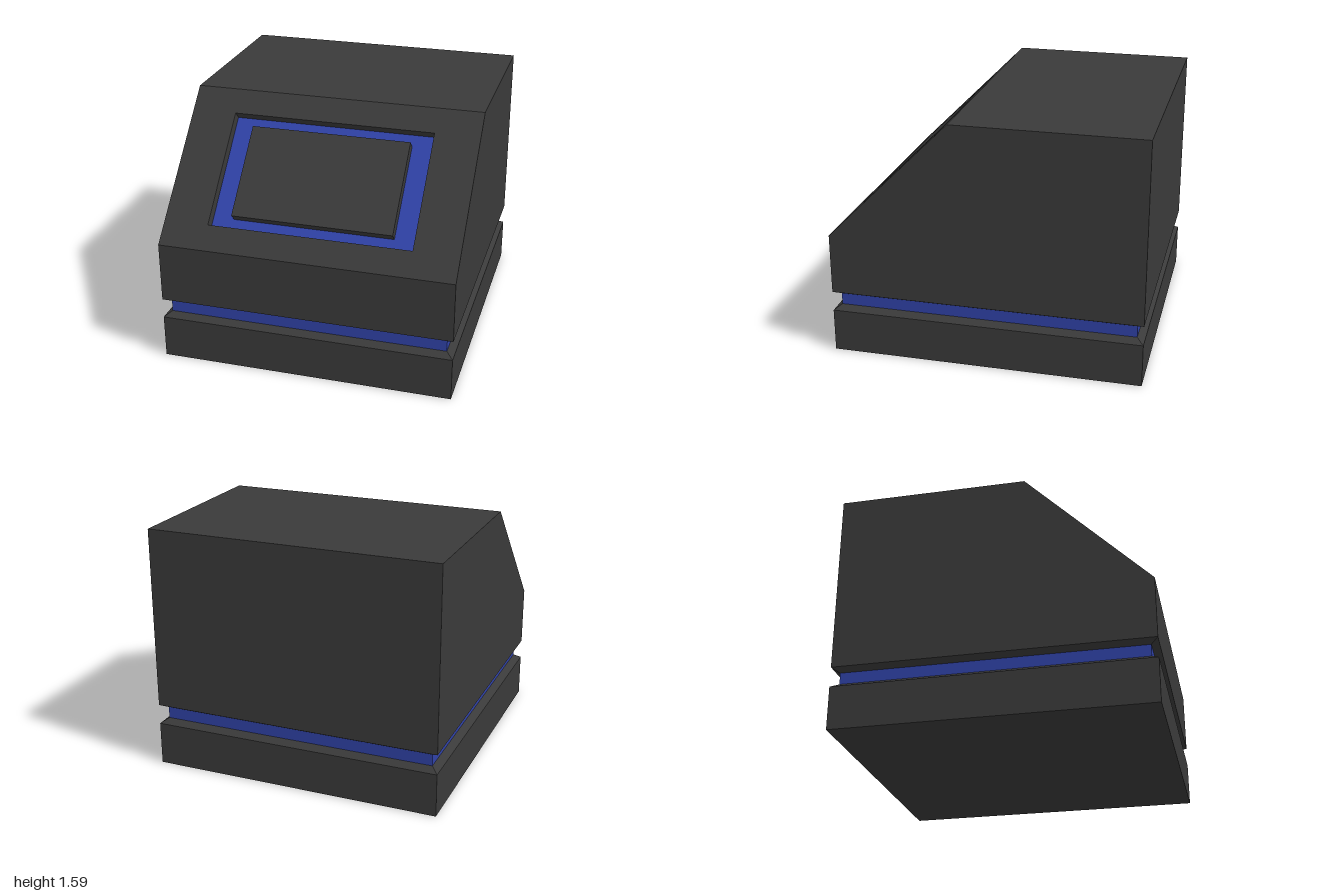
import * as THREE from 'three';

const W = 0.945, D = 1, INSET = 0.045, H = 1.59, SHOULDER = 0.8, SLOPE_TOP_Z = 0.21;
const DEPTH = 0.067; // recess depth, square to the slope

const casing = new THREE.MeshStandardMaterial({ color: 0x3a3a3a });
casing.name = 'charcoal casing';
const accent = new THREE.MeshStandardMaterial({ color: 0x3042a8 });
accent.name = 'blue accent';

// Skins rectangular sections [y, halfWidth, zFront, zBack]; options add caps or leave out front faces.
// Sections listed downward give inward-facing walls.
function skin(sections, { top = false, bottom = false, openFrontAt = -1 } = {}) {
  const loops = sections.map(([y, w, f, b]) => [[-w, y, f], [w, y, f], [w, y, b], [-w, y, b]]);
  const pos = [];
  const quad = (a, b, c, d) => [a, b, c, a, c, d].forEach((p) => pos.push(...p));
  for (let i = 0; i < loops.length - 1; i++) {
    const lo = loops[i], hi = loops[i + 1];
    for (let s = 0; s < 4; s++) {
      if (s === 0 && i === openFrontAt) continue;
      const n = (s + 1) % 4;
      quad(lo[s], lo[n], hi[n], hi[s]);
    }
  }
  if (top) quad(...loops[loops.length - 1]);
  if (bottom) quad(...[...loops[0]].reverse());
  const geo = new THREE.BufferGeometry();
  geo.setAttribute('position', new THREE.Float32BufferAttribute(pos, 3));
  geo.computeVertexNormals();
  return geo;
}

function add(parent, name, geo, mat) {
  const mesh = new THREE.Mesh(geo, mat);
  mesh.name = name;
  parent.add(mesh);
  return mesh;
}

const rectPoints = (w, h) => [[-w, -h], [w, -h], [w, h], [-w, h]].map(([x, y]) => new THREE.Vector2(x, y));

export function createModel() {
  const model = new THREE.Group();
  model.name = 'slopedConsole';
  const outer = (y) => [y, W, D, -D];
  const inner = (y) => [y, W - INSET, D - INSET, INSET - D];

  // Base, groove band and hood with chamfered groove lips
  add(model, 'base', skin([outer(0), outer(0.28), inner(0.31)], { bottom: true }), casing);
  add(model, 'grooveBand', skin([inner(0.31), inner(0.385)]), accent);
  add(model, 'hood', skin(
    [inner(0.385), outer(0.41), outer(SHOULDER), [H, W, SLOPE_TOP_Z, -D]],
    { top: true, openFrontAt: 2 }), casing);

  // Sloped face: local y points out of the slope, local z runs down it
  const slope = new THREE.Group();
  slope.name = 'slopedFace';
  slope.position.set(0, (H + SHOULDER) / 2, (D + SLOPE_TOP_Z) / 2);
  slope.rotation.x = Math.PI / 4;
  model.add(slope);

  const slopeHalf = (H - SHOULDER) / Math.SQRT2;
  const openW = 0.655, openH = 0.387, panelW = 0.518, panelH = 0.309;

  const frame = new THREE.Shape(rectPoints(W, slopeHalf));
  frame.holes.push(new THREE.Path(rectPoints(openW, openH).reverse()));
  add(slope, 'slopeFrame', new THREE.ShapeGeometry(frame).rotateX(-Math.PI / 2), casing);

  // Recess walls, blue floor and raised panel
  add(slope, 'recessWalls', skin([[0, openW, openH, -openH], [-DEPTH, openW, openH, -openH]]), casing);
  const floor = add(slope, 'recessFloor',
    new THREE.PlaneGeometry(openW * 2, openH * 2).rotateX(-Math.PI / 2), accent);
  floor.position.y = -DEPTH;
  add(slope, 'raisedPanel',
    skin([[-DEPTH, panelW, panelH, -panelH], [0, panelW, panelH, -panelH]], { top: true }), casing);

  return model;
}
